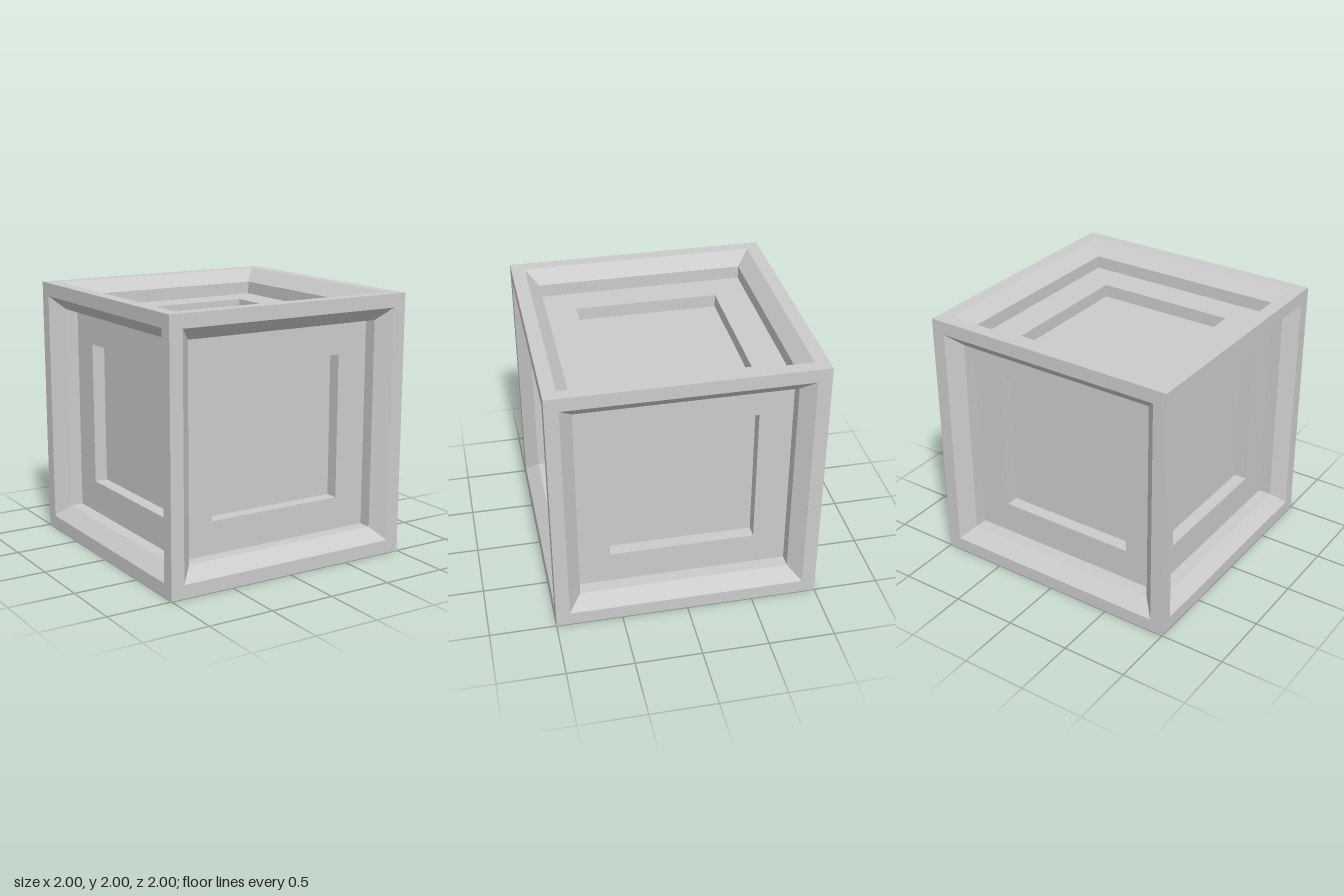
import * as THREE from 'three';

// [half width, distance from cube centre], from the outer edge inwards
const PROFILE = [
  [1, 1],        // outer edge of the rim
  [0.897, 1],    // rim meets bevel
  [0.8, 0.9],    // bevel meets step wall
  [0.8, 0.8],    // ledge
  [0.55, 0.8],
  [0.55, 0.7],   // foot of the inner recess
];

const SIDES = [
  ['topSide', 0, 0],
  ['bottomSide', Math.PI, 0],
  ['frontSide', Math.PI / 2, 0],
  ['backSide', -Math.PI / 2, 0],
  ['rightSide', 0, Math.PI / 2],
  ['leftSide', 0, -Math.PI / 2],
];

export function createModel() {
  const model = new THREE.Group();
  model.name = 'recessedCube';
  const material = new THREE.MeshStandardMaterial({ color: 0xcccccc, flatShading: true });

  // A four-sided lathe makes the square, stepped frame
  const points = PROFILE.map(([half, height]) => new THREE.Vector2(half * Math.SQRT2, height));
  const frameGeometry = new THREE.LatheGeometry(points, 4, Math.PI / 4).toNonIndexed();
  frameGeometry.computeVertexNormals();

  // Flat square at the bottom of the recess
  const panelGeometry = new THREE.PlaneGeometry(1.1, 1.1);
  panelGeometry.rotateX(-Math.PI / 2).translate(0, 0.7, 0);

  // The same frame and panel on all six sides
  for (const [name, rx, rz] of SIDES) {
    const side = new THREE.Group();
    side.name = name;
    const frame = new THREE.Mesh(frameGeometry, material);
    frame.name = 'steppedFrame';
    const panel = new THREE.Mesh(panelGeometry, material);
    panel.name = 'recessedPanel';
    side.add(frame, panel);
    side.rotation.set(rx, 0, rz);
    side.position.y = 1;
    model.add(side);
  }
  return model;
}
